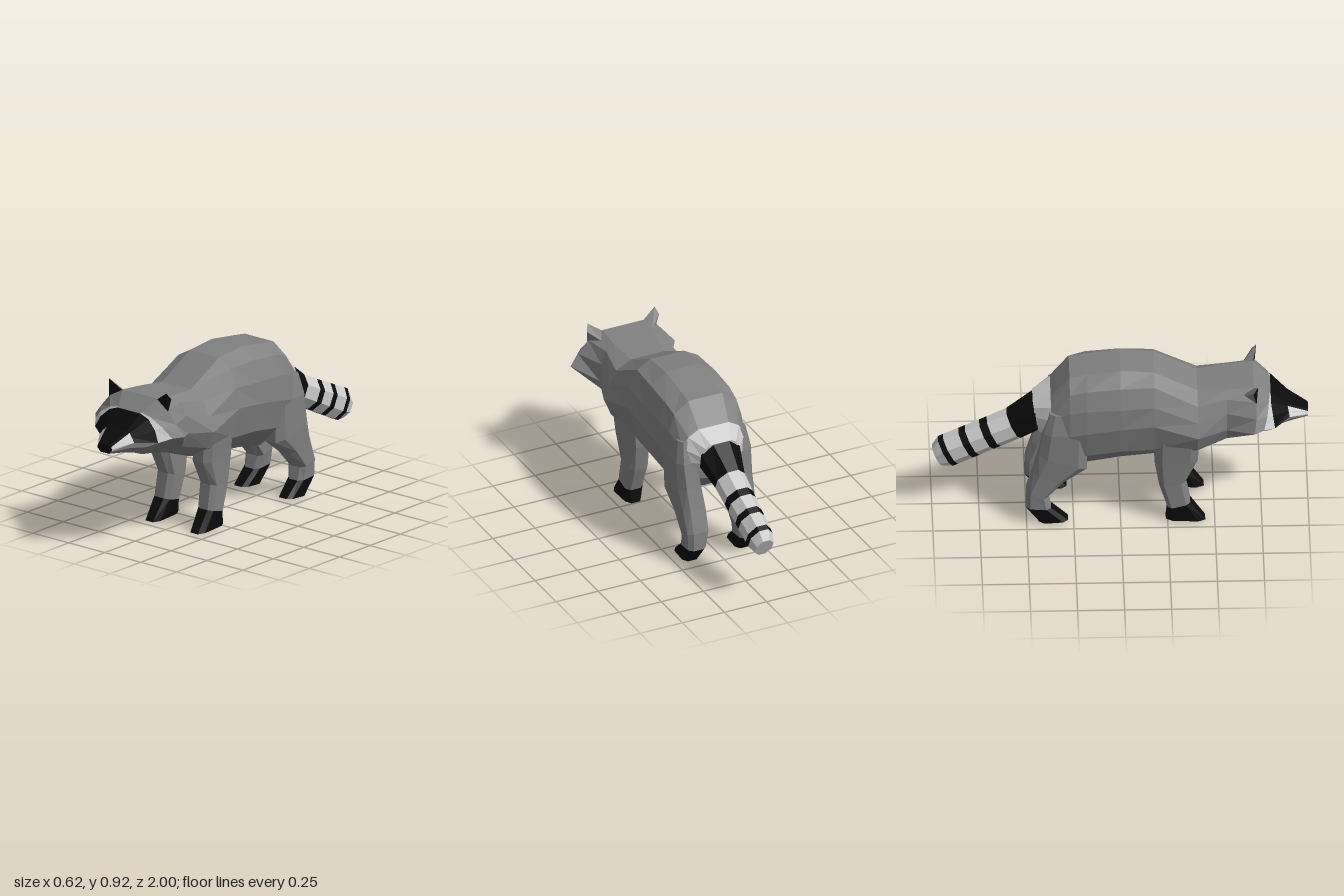
import * as THREE from 'three';

const COLORS = { Fur: 0x808080, Light: 0xcccccc, Black: 0x0b0b0b };
const materials = {};
for (const key in COLORS) {
  materials[key] = new THREE.MeshStandardMaterial({ color: COLORS[key], flatShading: true });
}

// One flat-shaded mesh per colour from lists of triangle corners
function meshesFrom(name, trisByColor) {
  const group = new THREE.Group();
  group.name = name;
  for (const key in trisByColor) {
    const geo = new THREE.BufferGeometry();
    geo.setAttribute('position', new THREE.Float32BufferAttribute(trisByColor[key].flat(), 3));
    geo.computeVertexNormals();
    const mesh = new THREE.Mesh(geo, materials[key]);
    mesh.name = name + key;
    group.add(mesh);
  }
  return group;
}

// Skin closed rings (clockwise seen from the first end); color(i, j) picks each facet's colour
function loft(name, rings, color, capStart = true, capEnd = true) {
  const tris = {};
  const add = (key, ...pts) => (tris[key] ??= []).push(...pts);
  const n = rings[0].length;
  for (let i = 0; i < rings.length - 1; i++) {
    for (let j = 0; j < n; j++) {
      const k = (j + 1) % n;
      const a = rings[i][j], b = rings[i][k], c = rings[i + 1][k], d = rings[i + 1][j];
      const key = color(i, Math.min(j, n - 1 - j));
      if (j < n / 2) add(key, a, b, c, a, c, d);
      else add(key, a, b, d, b, c, d);
    }
  }
  const cap = (ring, key, flip) => {
    const mid = [0, 1, 2].map((q) => ring.reduce((s, p) => s + p[q], 0) / n);
    ring.forEach((p, j) => {
      const q = ring[(j + 1) % n];
      if (flip) add(key, mid, q, p);
      else add(key, mid, p, q);
    });
  };
  if (capStart) cap(rings[0], color(0, 0), true);
  if (capEnd) cap(rings.at(-1), color(rings.length - 2, 0), false);
  return meshesFrom(name, tris);
}

// Complete a half ring (top centre to bottom centre on +x) by mirroring
const mirrorRing = (half) => [...half, ...half.slice(1, -1).reverse().map(([x, y, z]) => [-x, y, z])];
// Half ring at one depth from [x, y] pairs
const flat = (z, xy) => xy.map(([x, y]) => [x, y, z]);

const NECK = flat(0.565, [[0, .8], [.12, .8], [.17, .77], [.2, .7], [.21, .6], [.17, .52], [.09, .47], [0, .46]]);

// Head: nose, snout, mask edge, cheek strip, cheeks, neck
function makeHead() {
  const rings = [
    flat(1, [[0, .605], [.03, .605], [.045, .6], [.05, .59], [.05, .58], [.04, .57], [.03, .56], [0, .56]]),
    [[0, .665, .89], [.06, .665, .89], [.08, .66, .89], [.1, .64, .895], [.12, .615, .9], [.09, .58, .9], [.06, .55, .9], [0, .545, .9]],
    [[0, .745, .8], [.08, .745, .8], [.135, .725, .8], [.19, .675, .81], [.22, .615, .82], [.15, .58, .83], [.08, .535, .83], [0, .53, .83]],
    [[0, .75, .795], [.08, .75, .795], [.14, .735, .79], [.215, .69, .78], [.268, .635, .76], [.17, .565, .78], [.09, .52, .8], [0, .515, .8]],
    [[0, .815, .71], [.12, .815, .71], [.2, .77, .72], [.26, .7, .72], [.31, .64, .71], [.18, .56, .68], [.09, .5, .68], [0, .49, .68]],
    NECK,
  ];
  const color = (i, j) => {
    if (i === 0) return j < 2 ? 'Black' : j < 5 ? 'Light' : 'Fur';
    if (i === 1) return j < 4 ? 'Black' : j < 5 ? 'Light' : 'Fur';
    if (i === 2) return j > 0 && j < 4 ? 'Light' : 'Fur';
    return 'Fur';
  };
  return loft('head', rings.map(mirrorRing), color, true, false);
}

// Body: neck, shoulders, back, hips, pale rump
function makeBody() {
  const rings = [
    NECK,
    flat(.41, [[0, .785], [.1, .785], [.19, .74], [.23, .66], [.262, .58], [.22, .48], [.1, .41], [0, .4]]),
    flat(.18, [[0, .905], [.1, .905], [.18, .86], [.225, .76], [.245, .65], [.21, .48], [.1, .38], [0, .375]]),
    flat(0, [[0, .92], [.1, .92], [.19, .86], [.23, .75], [.24, .63], [.21, .47], [.09, .355], [0, .35]]),
    flat(-.18, [[0, .894], [.1, .894], [.19, .845], [.225, .74], [.235, .6], [.2, .44], [.085, .32], [0, .315]]),
    flat(-.27, [[0, .88], [.1, .88], [.185, .82], [.215, .72], [.225, .58], [.19, .44], [.08, .345], [0, .34]]),
    flat(-.37, [[0, .755], [.09, .755], [.15, .72], [.185, .66], [.19, .58], [.15, .5], [.07, .45], [0, .44]]),
    [[0, .7, -.465], [.06, .7, -.465], [.09, .68, -.46], [.11, .63, -.455], [.11, .59, -.45], [.09, .54, -.44], [.06, .515, -.435], [0, .51, -.43]],
  ];
  return loft('body', rings.map(mirrorRing), (i) => (i === 6 ? 'Light' : 'Fur'), false);
}

// Tail: tilted octagons [y, z, half height, half width, tilt], alternately black and pale
function makeTail() {
  const sections = [
    [.605, -.445, .098, .115, .15], [.52, -.565, .084, .08, .46],
    [.468, -.67, .084, .076, .46], [.449, -.71, .084, .074, .46],
    [.412, -.785, .086, .07, .46], [.395, -.82, .086, .069, .46],
    [.357, -.9, .088, .066, .46], [.343, -.927, .088, .065, .46],
    [.318, -.972, .06, .05, .46],
  ];
  const rings = sections.map(([y, z, h, w, tilt]) => Array.from({ length: 8 }, (_, k) => {
    const a = (k - .5) * Math.PI / 4, s = 1 / Math.cos(Math.PI / 8);
    const up = Math.cos(a) * h * s;
    return [Math.sin(a) * w * s, y + up * Math.cos(tilt), z - up * Math.sin(tilt)];
  }));
  return loft('tail', rings, (i) => (i % 2 ? 'Light' : 'Black'));
}

// Leg: chamfered rectangles [y front, y back, x in, x out, z back, z front] from the sole up
function makeLeg(name, side, sections) {
  const rings = sections.map(([yf, yb, x0, x1, z0, z1]) => {
    const cx = (x1 - x0) * .22, cz = (z1 - z0) * .18;
    const ring = [
      [x1, z1 - cz], [x1, z0 + cz], [x1 - cx, z0], [x0 + cx, z0],
      [x0, z0 + cz], [x0, z1 - cz], [x0 + cx, z1], [x1 - cx, z1],
    ].map(([x, z]) => [side * x, yb + (yf - yb) * (z - z0) / (z1 - z0), z]);
    return side > 0 ? ring : ring.reverse();
  });
  return loft(name, rings, (i) => (i === 0 ? 'Black' : 'Fur'));
}

const FRONT_LEG = [
  [0, .01, .11, .202, .24, .45], [.115, .085, .1, .205, .25, .37], [.25, .23, .09, .205, .205, .345],
  [.39, .38, .085, .212, .18, .41], [.56, .56, .1, .23, .18, .42],
];
const HIND_LEG = [
  [.01, 0, .11, .202, -.43, -.28], [.09, .1, .1, .205, -.505, -.37], [.16, .2, .085, .21, -.5, -.39],
  [.26, .32, .08, .213, -.465, -.3], [.35, .44, .085, .22, -.435, -.18], [.58, .58, .1, .222, -.41, -.18],
  [.7, .7, .12, .2, -.375, -.22],
];

// Ear: black front facet with grey facets running back to the skull
function makeEar(name, side) {
  const [a, b, c, d, e] = [
    [.12, .81, .712], [.205, .76, .722], [.214, .83, .705], [.2, .866, .73], [.14, .775, .645],
  ].map(([x, y, z]) => [side * x, y, z]);
  const wind = (list) => list.flatMap(([p, q, r]) => (side > 0 ? [p, q, r] : [p, r, q]));
  return meshesFrom(name, {
    Black: wind([[a, b, d], [b, c, d]]),
    Fur: wind([[a, d, e], [d, c, e], [c, b, e]]),
  });
}

export function createModel() {
  const model = new THREE.Group();
  model.name = 'raccoon';
  model.add(makeHead(), makeBody(), makeTail());
  for (const [label, side] of [['left', 1], ['right', -1]]) {
    model.add(
      makeEar(label + 'Ear', side),
      makeLeg(label + 'FrontLeg', side, FRONT_LEG),
      makeLeg(label + 'HindLeg', side, HIND_LEG),
    );
  }
  return model;
}
